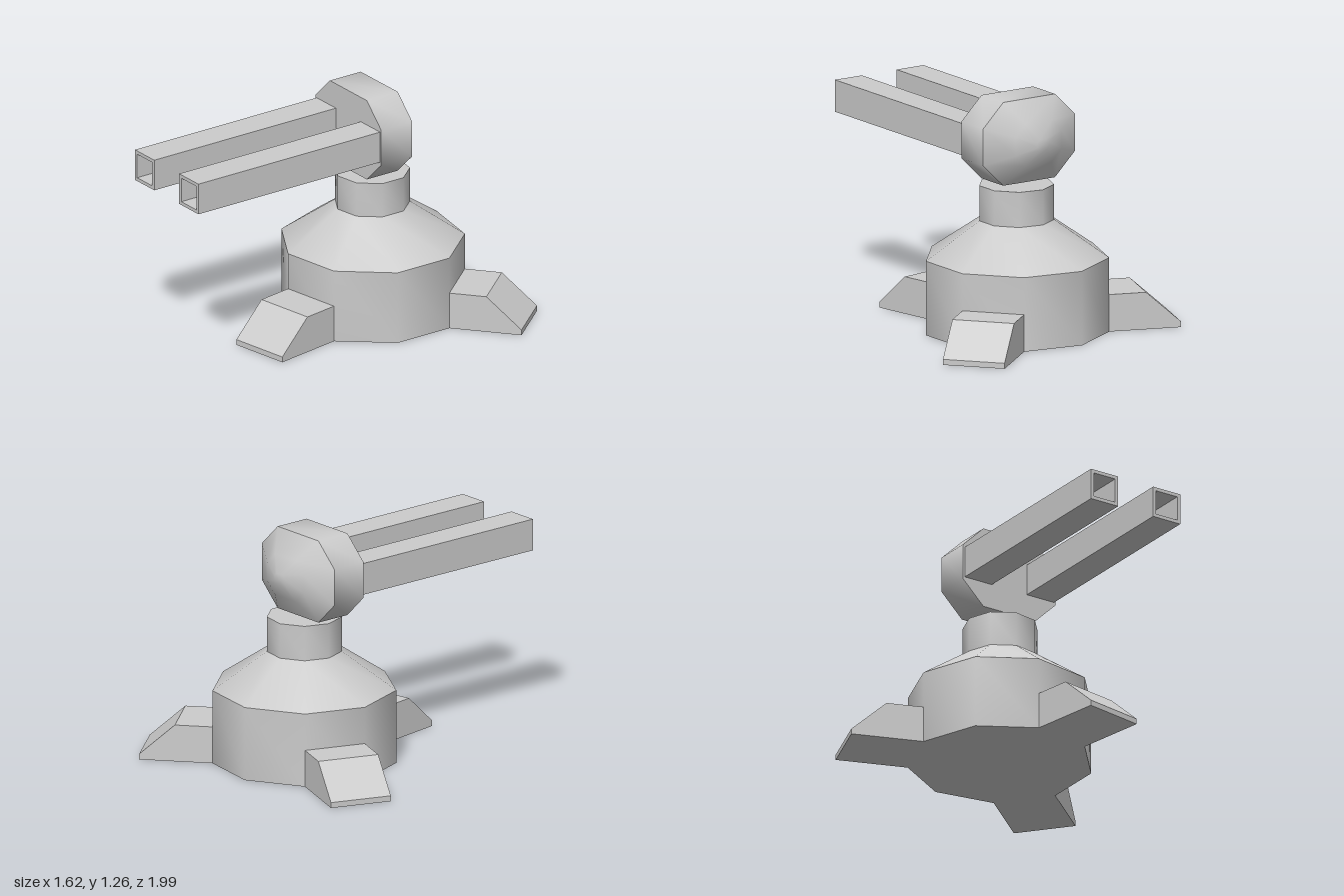
import * as THREE from 'three';
import { toCreasedNormals } from 'three/addons/utils/BufferGeometryUtils.js';

const CREASE = 0.85;
const material = new THREE.MeshStandardMaterial({ color: 0xcccccc, side: THREE.DoubleSide });

function addMesh(parent, name, geometry) {
  const mesh = new THREE.Mesh(geometry, material);
  mesh.name = name;
  parent.add(mesh);
  return mesh;
}

const points = (list) => list.map(([x, y]) => new THREE.Vector2(x, y));

// Skin over scaled copies of one outline, given as [scale, z] from front to back, capped at both ends
function loftGeometry(outline, rings) {
  const n = outline.length, pos = [], index = [];
  for (const [s, z] of rings) for (const [x, y] of outline) pos.push(x * s, y * s, z);
  for (let r = 0; r < rings.length - 1; r++) {
    for (let i = 0; i < n; i++) {
      const j = (i + 1) % n;
      const a = r * n + i, b = r * n + j, c = a + n, d = b + n;
      index.push(a, c, b, b, c, d);
    }
  }
  const front = pos.length / 3, back = front + 1, last = (rings.length - 1) * n;
  pos.push(0, 0, rings[0][1], 0, 0, rings[rings.length - 1][1]);
  for (let i = 0; i < n; i++) {
    const j = (i + 1) % n;
    index.push(front, i, j, back, last + j, last + i);
  }
  const g = new THREE.BufferGeometry();
  g.setAttribute('position', new THREE.Float32BufferAttribute(pos, 3));
  g.setIndex(index);
  return toCreasedNormals(g, CREASE);
}

function squarePath(PathClass, half) {
  return new PathClass(points([[-half, -half], [half, -half], [half, half], [-half, half]]));
}

export function createModel() {
  const model = new THREE.Group();
  model.name = 'turret';

  // Nine-sided pedestal: drum, sloped shoulder and neck
  const base = new THREE.Group();
  base.name = 'base';
  base.position.set(-0.05, 0, -0.32);
  model.add(base);
  const radius = 0.49;
  const profile = points([[0, 0], [radius, 0], [radius, 0.4], [0.2, 0.6], [0.2, 0.79], [0, 0.79]]);
  addMesh(base, 'pedestal', toCreasedNormals(new THREE.LatheGeometry(profile, 9, Math.PI / 2), CREASE));

  // Three feet, each growing from one side of the drum
  const inner = radius * Math.cos(Math.PI / 9);
  const width = 2 * radius * Math.sin(Math.PI / 9);
  const footShape = new THREE.Shape(points([
    [inner, 0], [inner + 0.39, 0], [inner + 0.39, 0.03], [inner + 0.2, 0.2], [inner, 0.2],
  ]));
  const footGeometry = new THREE.ExtrudeGeometry(footShape, { depth: width, bevelEnabled: false });
  footGeometry.translate(0, 0, -width / 2);
  for (const degrees of [20, 140, 260]) {
    addMesh(base, 'foot', footGeometry).rotation.y = THREE.MathUtils.degToRad(degrees);
  }

  // Turned gun head: eight-sided block with a domed back
  const gun = new THREE.Group();
  gun.name = 'gun';
  gun.position.set(-0.125, 1.035, -0.21);
  gun.rotation.y = THREE.MathUtils.degToRad(-20);
  model.add(gun);
  const octagon = [
    [0.293, -0.1], [0.293, 0.1], [0.165, 0.225], [-0.165, 0.225],
    [-0.293, 0.1], [-0.293, -0.1], [-0.165, -0.225], [0.165, -0.225],
  ];
  addMesh(gun, 'head', loftGeometry(octagon, [[1, 0], [1, -0.2], [0.5, -0.288], [0.13, -0.33]]));

  // Two hollow square barrels
  const barrelShape = squarePath(THREE.Shape, 0.086);
  barrelShape.holes.push(squarePath(THREE.Path, 0.067));
  const barrelGeometry = new THREE.ExtrudeGeometry(barrelShape, { depth: 1.178, bevelEnabled: false });
  for (const side of [-1, 1]) {
    addMesh(gun, side > 0 ? 'leftBarrel' : 'rightBarrel', barrelGeometry).position.x = side * 0.197;
  }

  return model;
}
